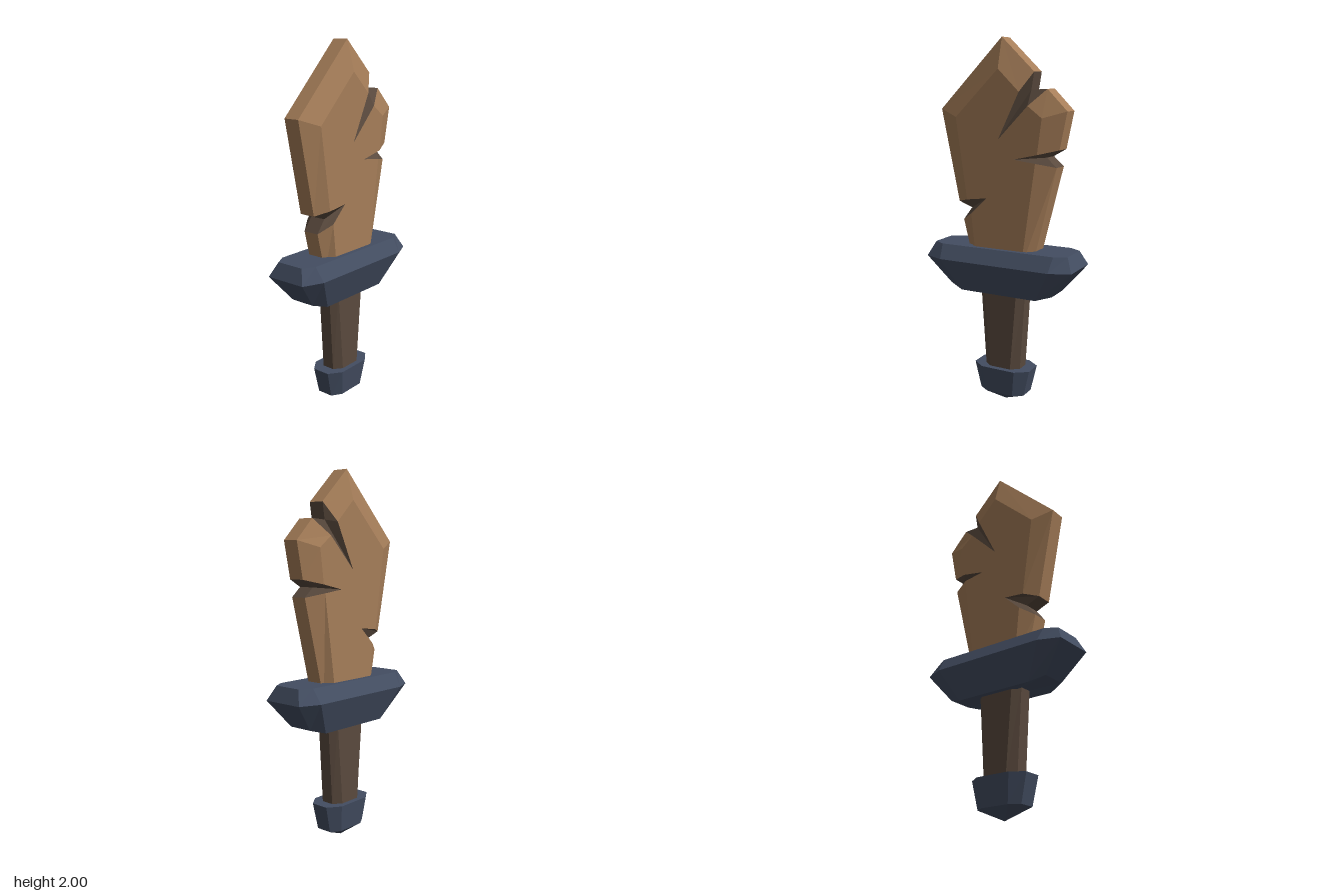
import * as THREE from 'three';

const mat = (name, color) => {
  const m = new THREE.MeshStandardMaterial({ color });
  m.name = name;
  return m;
};

// Faceted mesh from a list of triangle corners
function facetMesh(name, points, material) {
  const g = new THREE.BufferGeometry().setFromPoints(points);
  g.computeVertexNormals();
  const mesh = new THREE.Mesh(g, material);
  mesh.name = name;
  return mesh;
}

// Long octagon: ends at x = X (half depth z), sides at z = Z (half width x)
function octagon(y, X, x, Z, z, yEnd = y) {
  return [[X, z, yEnd], [x, Z, y], [-x, Z, y], [-X, z, yEnd], [-X, -z, yEnd], [-x, -Z, y], [x, -Z, y], [X, -z, yEnd]]
    .map(([px, pz, py]) => new THREE.Vector3(px, py, pz));
}

// Stacks octagons from bottom to top and closes both ends
function loft(name, rings, material, bottomY = rings[0][1].y) {
  const out = [];
  const n = 8;
  const top = rings[rings.length - 1];
  const low = new THREE.Vector3(0, bottomY, 0);
  const high = new THREE.Vector3(0, top[0].y, 0);
  for (let i = 0; i < n; i++) {
    const j = (i + 1) % n;
    for (let r = 0; r < rings.length - 1; r++) {
      const a = rings[r][i], b = rings[r][j], c = rings[r + 1][i], d = rings[r + 1][j];
      out.push(a, c, b, b, c, d);
    }
    out.push(low, rings[0][i], rings[0][j], high, top[j], top[i]);
  }
  return facetMesh(name, out, material);
}

// Chipped blade: [edge x, edge y, face x, face y, is notch], clockwise from the tip
const OUTLINE = [
  [0, 2, 0, 1.84],
  [0.185, 1.825, 0.12, 1.725],
  [0.17, 1.735, 0, 1.48, true],
  [0.26, 1.74, 0.17, 1.655],
  [0.37, 1.63, 0.25, 1.595],
  [0.33, 1.435, 0.225, 1.41],
  [0.26, 1.395, 0.09, 1.38, true],
  [0.317, 1.345, 0.215, 1.365],
  [0.18, 0.8, 0.135, 0.8],
  [-0.18, 0.8, -0.135, 0.8],
  [-0.238, 1.03, -0.165, 1.075],
  [-0.185, 1.1, -0.07, 1.165, true],
  [-0.265, 1.13, -0.19, 1.15],
  [-0.37, 1.63, -0.255, 1.59],
];

function blade(wood, darkWood) {
  const group = new THREE.Group();
  group.name = 'blade';
  const edge = z => OUTLINE.map(p => new THREE.Vector3(p[0], p[1], z));
  const face = z => OUTLINE.map(p => new THREE.Vector3(p[2], p[3], z));
  const layers = [face(0.09), edge(0.045), edge(-0.045), face(-0.09)];
  const body = [], cuts = [];

  // Bevels and rim, with the notch walls kept apart
  OUTLINE.forEach((p, i) => {
    const j = (i + 1) % OUTLINE.length;
    const out = p[4] || OUTLINE[j][4] ? cuts : body;
    for (let k = 0; k < 3; k++) {
      const f = layers[k], b = layers[k + 1];
      out.push(f[i], f[j], b[i], f[j], b[j], b[i]);
    }
  });

  // Flat front and back
  const flat = OUTLINE.map(p => new THREE.Vector2(p[2], p[3]));
  for (const t of THREE.ShapeUtils.triangulateShape(flat, [])) {
    const tri = THREE.ShapeUtils.area(t.map(i => flat[i])) > 0 ? t : [t[0], t[2], t[1]];
    const [a, b, c] = tri;
    body.push(layers[0][a], layers[0][b], layers[0][c]);
    body.push(layers[3][a], layers[3][c], layers[3][b]);
  }
  group.add(facetMesh('bladeBody', body, wood), facetMesh('bladeNotches', cuts, darkWood));
  return group;
}

export function createModel() {
  const wood = mat('wood', 0xa67e59);
  const darkWood = mat('dark wood', 0x5a4a3e);
  const iron = mat('blue grey iron', 0x434d61);

  const model = new THREE.Group();
  model.name = 'woodenSword';
  model.add(
    blade(wood, darkWood),
    loft('guard', [
      octagon(0.64, 0.31, 0.225, 0.1, 0.07, 0.665),
      octagon(0.817, 0.437, 0.325, 0.163, 0.117),
      octagon(0.895, 0.4, 0.335, 0.117, 0.08),
    ], iron),
    loft('handle', [
      octagon(0.19, 0.105, 0.06, 0.07, 0.035),
      octagon(0.68, 0.137, 0.1, 0.07, 0.035),
    ], darkWood),
    loft('pommel', [
      octagon(0.06, 0.135, 0.08, 0.08, 0.045),
      octagon(0.21, 0.17, 0.1, 0.1, 0.05),
    ], iron, 0),
  );
  return model;
}
